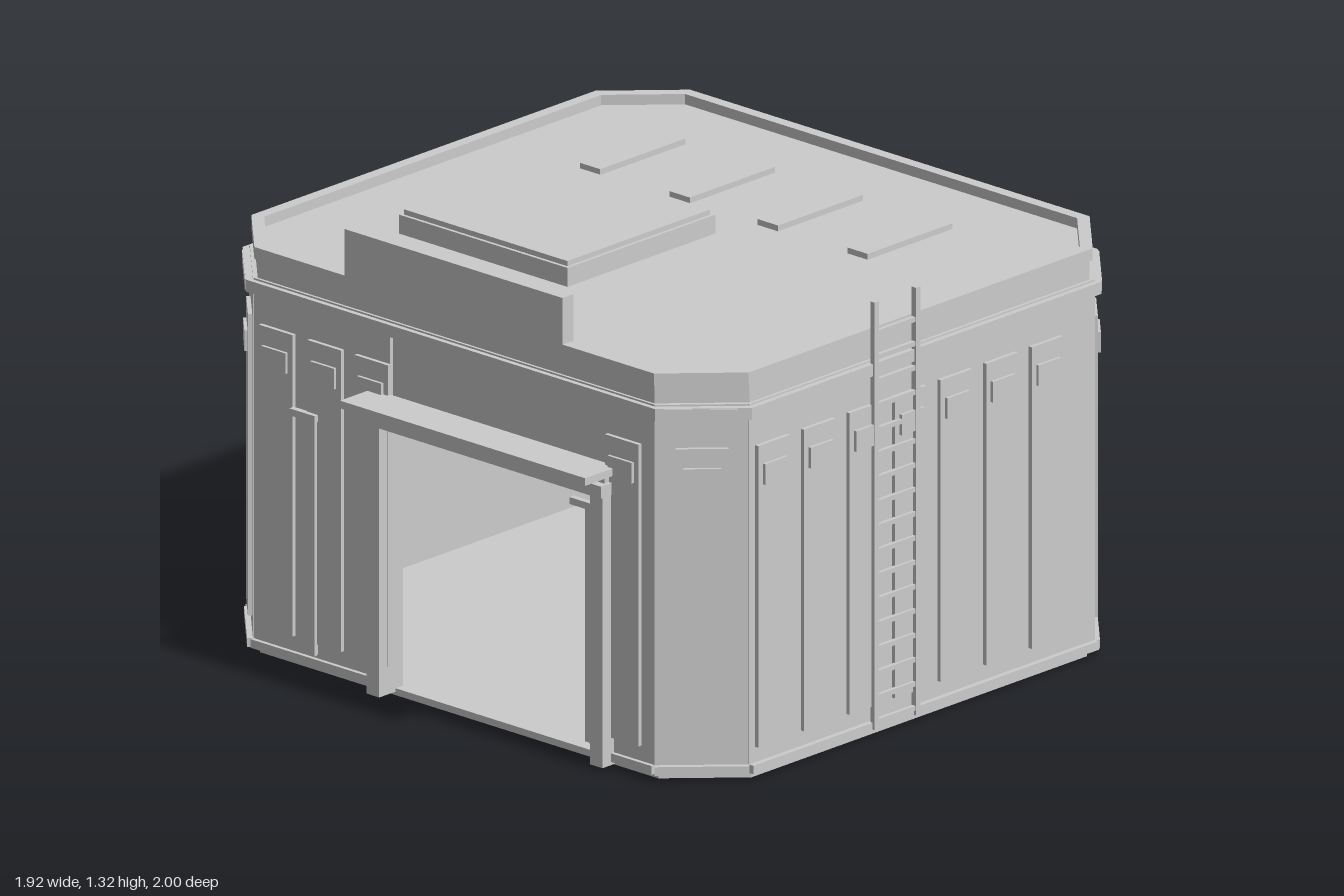
import * as THREE from 'three';

const steel = new THREE.MeshStandardMaterial({ color: 0xcccccc });
steel.name = 'plain grey';

function add(parent, name, geo) {
  const m = new THREE.Mesh(geo, steel);
  m.name = name;
  parent.add(m);
  return m;
}

// Box given by its limits on each axis
function box(parent, name, x0, x1, y0, y1, z0, z1) {
  const m = add(parent, name, new THREE.BoxGeometry(x1 - x0, y1 - y0, z1 - z0));
  m.position.set((x0 + x1) / 2, (y0 + y1) / 2, (z0 + z1) / 2);
  return m;
}

const polygon = (pts) => new THREE.Shape(pts.map((p) => new THREE.Vector2(p[0], p[1])));

// Rectangle with cut corners
function octagon(hx, hz, c) {
  return polygon([
    [hx, -hz + c], [hx, hz - c], [hx - c, hz], [-hx + c, hz],
    [-hx, hz - c], [-hx, -hz + c], [-hx + c, -hz], [hx - c, -hz],
  ]);
}

// Horizontal slab of that outline, hollow when rim is given
function slab(parent, name, hx, hz, c, y0, y1, rim = 0) {
  const s = octagon(hx, hz, c);
  if (rim) s.holes.push(octagon(hx - rim, hz - rim, c - rim * 0.6));
  const g = new THREE.ExtrudeGeometry(s, { depth: y1 - y0, bevelEnabled: false });
  g.rotateX(-Math.PI / 2).translate(0, y0, 0);
  return add(parent, name, g);
}

// Upright plate in the xy plane, from z0 to z1
function plate(parent, name, pts, z0, z1) {
  const g = new THREE.ExtrudeGeometry(polygon(pts), { depth: z1 - z0, bevelEnabled: false });
  return add(parent, name, g.translate(0, 0, z0));
}

// Raised wall panel with a small vent cover; the wall face is local z = 0
function panel(wall, x, w = 0.126) {
  box(wall, 'wallPanel', x - w / 2, x + w / 2, 0.09, 0.965, -0.005, 0.012);
  box(wall, 'ventCover', x - w * 0.36, x + w * 0.36, 0.85, 0.91, 0, 0.021);
}

function wallGroup(parent, name, x, z, angle) {
  const g = new THREE.Group();
  g.name = name;
  g.position.set(x, 0, z);
  g.rotation.y = angle;
  parent.add(g);
  return g;
}

// Wall outline with a doorway cut in from below
const doorWall = (a, b, top) => [
  [-0.75, 0.02], [a, 0.02], [a, top], [b, top], [b, 0.02], [0.75, 0.02], [0.75, 1.09], [-0.75, 1.09],
];

export function createModel() {
  const model = new THREE.Group();
  model.name = 'garageBuilding';
  const HX = 0.935, HZ = 0.87, T = 0.05;

  // Floor, cornice, parapet and roof
  slab(model, 'floor', 0.925, 0.85, 0.18, 0, 0.02);
  slab(model, 'cornice', 0.952, 0.885, 0.187, 1.05, 1.085, 0.06);
  slab(model, 'corniceNeck', 0.925, 0.862, 0.183, 1.085, 1.15, 0.035);
  slab(model, 'parapet', 0.93, 0.87, 0.183, 1.145, 1.18, 0.035);
  slab(model, 'roof', 0.9, 0.84, 0.165, 1.09, 1.15);

  // Roof fittings
  box(model, 'roofHatch', -0.59, 0.04, 1.14, 1.205, -0.13, 0.46);
  box(model, 'roofHatchLid', -0.58, 0.03, 1.205, 1.22, -0.12, 0.45);
  for (const x of [-0.55, -0.215, 0.115, 0.45])
    box(model, 'roofVent', x - 0.038, x + 0.038, 1.14, 1.167, -0.6, -0.26);
  box(model, 'signBoard', -0.41, 0.405, 1.15, 1.315, 0.825, 0.87);

  // Front wall with its doorway
  const front = wallGroup(model, 'frontWall', 0, HZ, 0);
  plate(front, 'frontWallShell', doorWall(-0.24, 0.55, 1.05), -T, 0);
  box(front, 'shutterHousing', -0.24, 0.55, 0.79, 1.05, -T, -0.012);
  box(front, 'baseTrim', -0.75, -0.27, 0.02, 0.045, -0.01, 0.012);
  box(front, 'baseTrim', 0.58, 0.75, 0.02, 0.045, -0.01, 0.012);
  for (const x of [-0.657, -0.475, -0.299, 0.638]) panel(front, x);
  for (const x of [-0.285, 0.55]) box(front, 'doorPost', x, x + 0.047, 0.01, 0.8, -T, 0.045);
  box(front, 'doorLintel', -0.288, 0.6, 0.795, 0.83, -T, 0.055);
  box(front, 'awning', -0.305, 0.612, 0.855, 0.877, 0, 0.13);
  box(front, 'awningStrip', -0.28, 0.59, 0.83, 0.857, -0.01, 0.03);

  // Hooked conduits beside the door
  for (const x of [-0.52, 0.527]) {
    box(front, 'conduitPipe', x - 0.018, x + 0.018, 0.06, 0.75, 0.008, 0.02);
    box(front, 'conduitPipe', x + 0.004, x + 0.022, 0.06, 0.75, 0.015, 0.026);
    box(front, 'conduitHook', x - 0.072, x + 0.022, 0.737, 0.757, 0.008, 0.026);
  }

  // Back wall with its doorway
  const back = wallGroup(model, 'backWall', 0, -HZ, Math.PI);
  plate(back, 'backWallShell', doorWall(-0.4, 0.4, 0.77), -T, 0);
  for (const s of [-1, 1]) {
    const a = Math.min(s * 0.42, s * 0.75), b = Math.max(s * 0.42, s * 0.75);
    box(back, 'baseTrim', a, b, 0.02, 0.045, -0.01, 0.012);
    panel(back, s * 0.66);
    panel(back, s * 0.48);
    box(back, 'portalStrip', s * 0.51 - 0.027, s * 0.51 + 0.027, 0.09, 0.74, 0.05, 0.075);
  }
  plate(back, 'portalFrame', [
    [-0.62, 0.015], [-0.4, 0.015], [-0.4, 0.75], [-0.38, 0.77], [0.38, 0.77], [0.4, 0.75],
    [0.4, 0.015], [0.62, 0.015], [0.62, 0.8], [0.45, 1.0], [-0.45, 1.0], [-0.62, 0.8],
  ], -0.01, 0.056);
  box(back, 'awning', -0.46, 0.46, 0.862, 0.882, 0.04, 0.13);
  box(back, 'awningStrip', -0.42, 0.42, 0.825, 0.864, 0.04, 0.075);
  box(back, 'doorSill', -0.4, 0.4, 0.045, 0.075, -0.02, 0.035);

  // Side walls
  for (const s of [1, -1]) {
    const side = wallGroup(model, s > 0 ? 'leftWall' : 'rightWall', s * HX, 0, s * Math.PI / 2);
    box(side, 'sideWallShell', -0.69, 0.69, 0.02, 1.09, -T, 0);
    box(side, 'baseTrim', -0.69, 0.69, 0.02, 0.045, -0.01, 0.016);
    for (let i = 0; i < 7; i++) panel(side, -s * (0.603 - 0.182 * i));
    if (s < 0)
      for (const x of [-0.505, 0.5]) box(side, 'junctionBox', x - 0.048, x + 0.048, 0.035, 0.18, 0, 0.026);
  }

  // Cut corners
  for (const sx of [1, -1])
    for (const sz of [1, -1]) {
      const corner = wallGroup(model, 'cornerWall', sx * 0.8425, sz * 0.78, Math.atan2(sx, sz));
      box(corner, 'cornerShell', -0.13, 0.13, 0.02, 1.09, -T, 0);
      box(corner, 'baseTrim', -0.13, 0.13, 0.02, 0.045, -0.01, 0.016);
      box(corner, 'corniceTrim', -0.118, 0.118, 1.052, 1.083, 0, 0.022);
      panel(corner, 0, 0.145);
    }

  // Ladder
  const ladder = new THREE.Group();
  ladder.name = 'ladder';
  model.add(ladder);
  for (const z of [0.04, 0.205])
    box(ladder, 'ladderRail', 0.942, 0.958, 0.025, 1.265, z - 0.009, z + 0.009);
  for (let i = 0; i < 17; i++) {
    const y = 0.045 + i * 0.0705;
    box(ladder, 'ladderRung', 0.944, 0.956, y - 0.007, y + 0.007, 0.04, 0.205);
  }

  return model;
}
